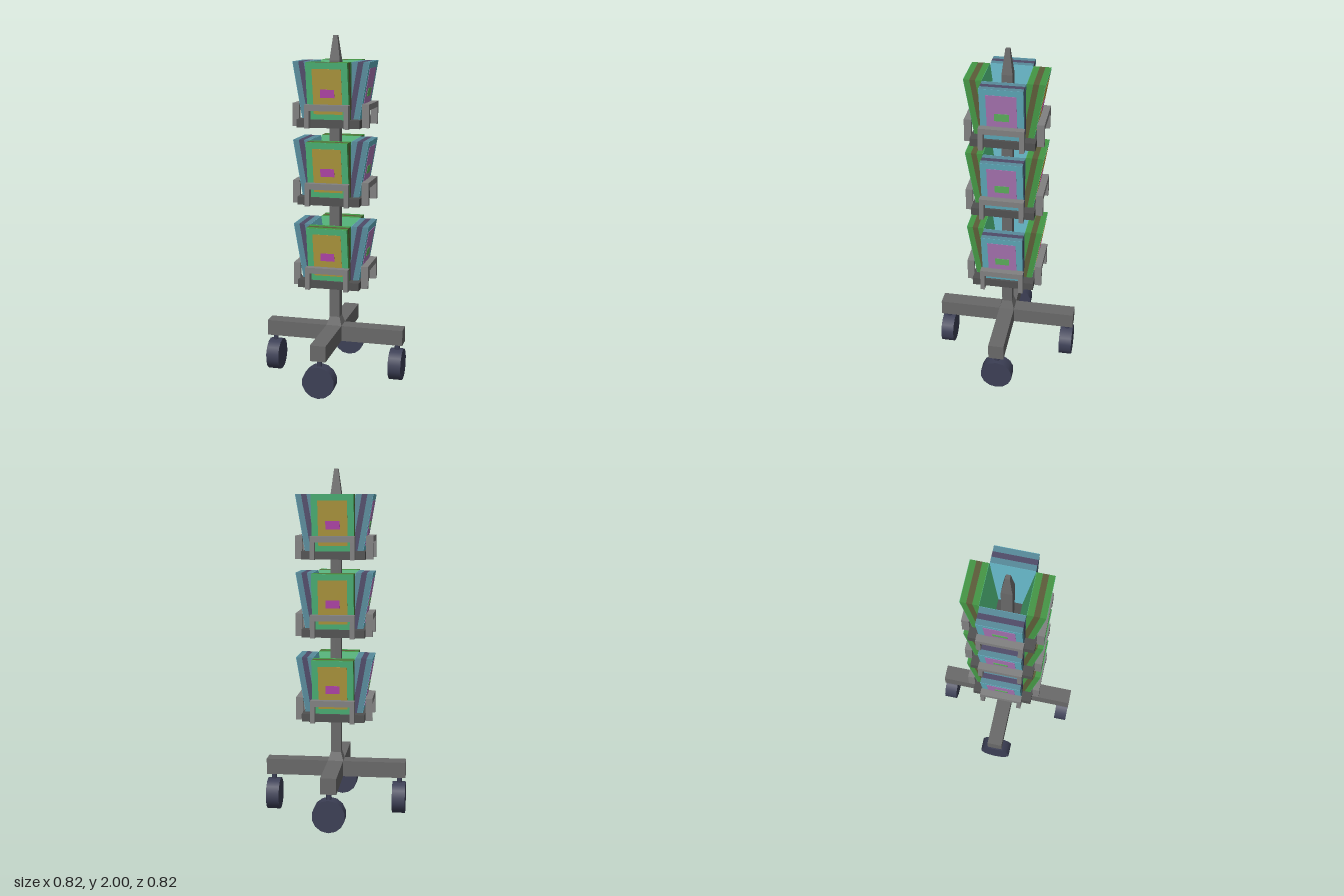
import * as THREE from 'three';

const mat = (color, flatShading = true) => new THREE.MeshStandardMaterial({ color, flatShading });
const frameMat = mat(0x686868), trayMat = mat(0x505050), railMat = mat(0x808080);
const wheelMat = mat(0x3c3f55, false);
const greenBook = { edge: mat(0x449644), stripe: mat(0x5c5c38), cover: mat(0x4fb87a), panel: mat(0xb39c40), label: mat(0xb848b0) };
const blueBook = { edge: mat(0x578a9a), stripe: mat(0x4f4a68), cover: mat(0x62b0c0), panel: mat(0xad78b8), label: mat(0x62b862) };

function add(parent, name, geometry, material, x = 0, y = 0, z = 0) {
  const mesh = new THREE.Mesh(geometry, material);
  mesh.name = name;
  mesh.position.set(x, y, z);
  parent.add(mesh);
  return mesh;
}
const box = (w, h, d) => new THREE.BoxGeometry(w, h, d);

// Square post section, given its half widths at top and bottom
const squareTaper = (top, bottom, h) =>
  new THREE.CylinderGeometry(top * Math.SQRT2, bottom * Math.SQRT2, h, 4).rotateY(Math.PI / 4);

// Box leaning outward in z: the ends stay level, only the upright faces slant
const LEAN = 0.055 / 0.315, BOOK_BOTTOM = 0.045, BOOK_TOP = 0.36, BOOK_BACK = 0.065;
const shear = new THREE.Matrix4().makeShear(0, 0, 0, LEAN, 0, 0);
function leaningBox(width, y0, y1, z0, z1) {
  return box(width, y1 - y0, z1 - z0)
    .translate(0, (y0 + y1) / 2 - BOOK_BOTTOM, BOOK_BACK + (z0 + z1) / 2)
    .applyMatrix4(shear)
    .translate(0, BOOK_BOTTOM, 0);
}

// A stack of books with covers, facing +z
function bookStack(colors) {
  const g = new THREE.Group();
  g.name = 'bookStack';
  const slab = (name, m, w, y0, y1, z0, z1) => add(g, name, leaningBox(w, y0, y1, z0, z1), m);
  const full = [0.236, BOOK_BOTTOM, BOOK_TOP];
  slab('backCover', colors.cover, ...full, 0, 0.002);
  slab('innerBook', colors.edge, ...full, 0.002, 0.035);
  slab('middleBook', colors.stripe, ...full, 0.035, 0.066);
  slab('outerBook', colors.edge, ...full, 0.066, 0.098);
  slab('frontCover', colors.cover, ...full, 0.098, 0.1);
  slab('coverPanel', colors.panel, 0.164, 0.075, 0.325, 0.1, 0.102);
  slab('coverLabel', colors.label, 0.08, 0.167, 0.213, 0.102, 0.104);
  return g;
}

// Open retaining rail in front of a stack
function rail() {
  const g = new THREE.Group();
  g.name = 'rail';
  add(g, 'railBar', box(0.25, 0.033, 0.04), railMat, 0, 0.1135, 0.2);
  for (const s of [-1, 1]) add(g, 'railPost', box(0.026, 0.097, 0.04), railMat, s * 0.112, 0.0485, 0.2);
  return g;
}

// One shelf with a pocket on each of the four sides
function shelf() {
  const g = new THREE.Group();
  g.name = 'shelf';
  add(g, 'tray', box(0.358, 0.045, 0.358), trayMat, 0, 0.0225, 0);
  for (let i = 0; i < 4; i++) {
    const pocket = new THREE.Group();
    pocket.name = 'pocket';
    pocket.add(bookStack(i % 2 ? blueBook : greenBook), rail());
    pocket.rotation.y = i * Math.PI / 2;
    g.add(pocket);
  }
  return g;
}

export function createModel() {
  const model = new THREE.Group();
  model.name = 'bookStand';

  // Crossed base with four casters
  const base = new THREE.Group();
  base.name = 'base';
  model.add(base);
  add(base, 'crossBeam', box(0.82, 0.092, 0.09), frameMat, 0, 0.267, 0);
  for (let i = 0; i < 4; i++) {
    const arm = new THREE.Group();
    arm.name = 'arm';
    arm.rotation.y = i * Math.PI / 2;
    base.add(arm);
    if (i % 2 === 0) add(arm, 'halfBeam', box(0.09, 0.092, 0.365), frameMat, 0, 0.267, 0.2275);
    add(arm, 'casterStem', new THREE.CylinderGeometry(0.015, 0.015, 0.06, 8), wheelMat, 0, 0.195, 0.373);
    const tyre = new THREE.CylinderGeometry(0.093, 0.093, 0.076, 14).rotateX(Math.PI / 2);
    add(arm, 'wheel', tyre, wheelMat, 0, 0.093, 0.371);
  }

  // Post with flared foot and tapered tip
  add(model, 'postFoot', squareTaper(0.03, 0.045, 0.05), frameMat, 0, 0.338, 0);
  add(model, 'post', box(0.06, 1.497, 0.06), frameMat, 0, 1.1115, 0);
  add(model, 'postTip', squareTaper(0.012, 0.03, 0.14), frameMat, 0, 1.93, 0);

  // Three loaded shelves
  for (const y of [0.575, 1.06, 1.498]) {
    const s = shelf();
    s.position.y = y;
    model.add(s);
  }
  return model;
}
